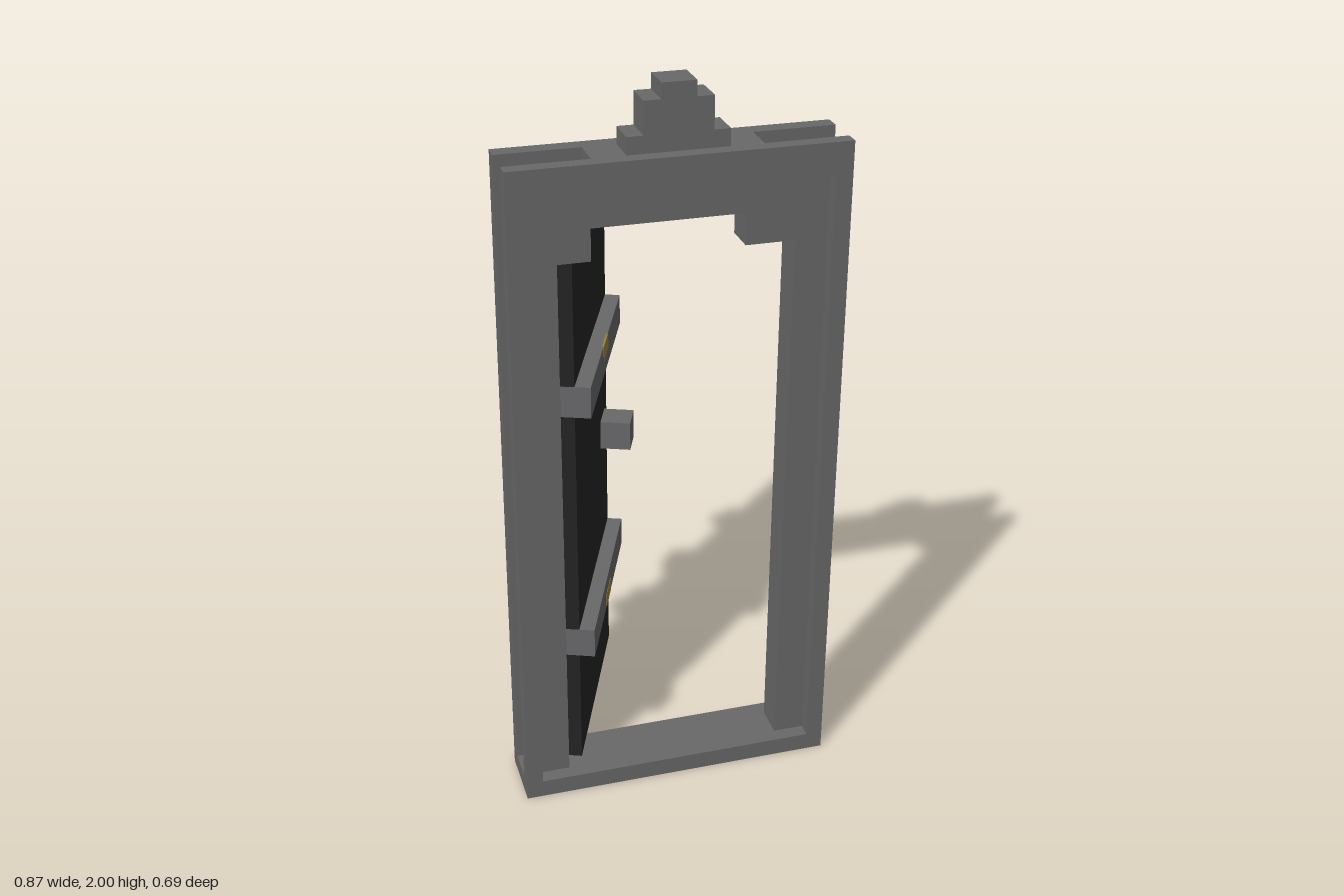
import * as THREE from 'three';

const mat = (name, color) => {
  const m = new THREE.MeshStandardMaterial({ color });
  m.name = name;
  return m;
};

export function createModel() {
  const steel = mat('grey steel', 0x68686a);
  const black = mat('black door', 0x242424);
  const brown = mat('brown wood', 0x553821);
  const gold = mat('gold', 0xa08238);

  const model = new THREE.Group();
  model.name = 'doorway';

  // Box given by its limits on each axis
  const box = (parent, name, material, [x0, x1], [y0, y1], [z0, z1]) => {
    const mesh = new THREE.Mesh(new THREE.BoxGeometry(x1 - x0, y1 - y0, z1 - z0), material);
    mesh.position.set((x0 + x1) / 2, (y0 + y1) / 2, (z0 + z1) / 2);
    mesh.name = name;
    parent.add(mesh);
    return mesh;
  };
  const toPoints = (list) => list.map(([x, y]) => new THREE.Vector2(x, y));
  const rect = (x0, x1, y0, y1) => [[x0, y0], [x1, y0], [x1, y1], [x0, y1]];

  // Flat plate with holes, spanning z0 to z1
  const plate = (parent, name, outline, holes, z0, z1) => {
    const shape = new THREE.Shape(toPoints(outline));
    holes.forEach((h) => shape.holes.push(new THREE.Path(toPoints(h))));
    const geo = new THREE.ExtrudeGeometry(shape, { depth: z1 - z0, bevelEnabled: false });
    const mesh = new THREE.Mesh(geo, steel);
    mesh.position.z = z0;
    mesh.name = name;
    parent.add(mesh);
  };

  // Frame: two outer rims with a narrower core between them
  const frame = new THREE.Group();
  frame.name = 'frame';
  model.add(frame);
  const rim = rect(-0.435, 0.435, 0, 1.83);
  const rimHole = rect(-0.39, 0.39, 0.05, 1.74);
  plate(frame, 'backRim', rim, [rimHole], 0.165, 0.21);
  plate(frame, 'frontRim', rim, [rimHole], 0.3, 0.34);

  const core = rect(-0.39, 0.39, 0.01, 1.78);
  const opening = [
    [-0.305, 0.05], [0.305, 0.05], [0.305, 1.57], [0.175, 1.57],
    [0.175, 1.655], [-0.22, 1.655], [-0.22, 1.57], [-0.305, 1.57],
  ];
  const strikes = [[0.4, 0.48], [0.79, 0.875], [1.13, 1.22]]
    .map(([y0, y1]) => rect(0.315, 0.35, y0, y1));
  plate(frame, 'coreBack', core, [opening, ...strikes], 0.21, 0.25);
  plate(frame, 'coreFront', core, [opening], 0.25, 0.3);
  box(frame, 'threshold', steel, [-0.435, 0.435], [0, 0.05], [0.21, 0.3]);
  box(frame, 'headBlock', steel, [-0.217, 0.217], [1.77, 1.83], [0.21, 0.3]);

  // Stepped crest on top
  [[0.13, 1.83, 1.875], [0.088, 1.875, 1.96], [0.044, 1.96, 2]].forEach(([w, y0, y1]) =>
    box(frame, 'crestStep', steel, [-w, w], [y0, y1], [0.21, 0.3]));

  // Open door: local x runs from hinge to free edge, local -z is its back
  const door = new THREE.Group();
  door.name = 'door';
  door.position.set(-0.22, 0, 0.276);
  door.rotation.y = THREE.MathUtils.degToRad(68);
  model.add(door);
  box(door, 'doorLeaf', black, [0, 0.6], [0.05, 1.655], [-0.13, -0.042]);
  box(door, 'lowerPanel', brown, [0.085, 0.512], [0.085, 0.7], [-0.172, -0.08]);
  box(door, 'upperPanel', brown, [0.085, 0.512], [0.79, 1.53], [-0.172, -0.08]);

  // Bars wrapping the leaf, with studs on the back and an inlay on the front
  [[0.395, 0.48, 0.395], [1.13, 1.217, 1.174]].forEach(([y0, y1, s]) => {
    box(door, 'bar', steel, [0, 0.6], [y0, y1], [-0.173, 0]);
    [[0.04, 0.083], [0.25, 0.337], [0.515, 0.558]].forEach((span) =>
      box(door, 'stud', gold, span, [s, s + 0.043], [-0.215, -0.16]));
    box(door, 'inlay', gold, [0.25, 0.337], [s, s + 0.043], [-0.005, 0.001]);
  });

  // Knobs on both faces
  box(door, 'frontKnob', steel, [0.47, 0.556], [0.79, 0.875], [-0.05, 0.044]);
  box(door, 'backKnob', steel, [0.47, 0.556], [0.79, 0.875], [-0.215, -0.12]);

  return model;
}
